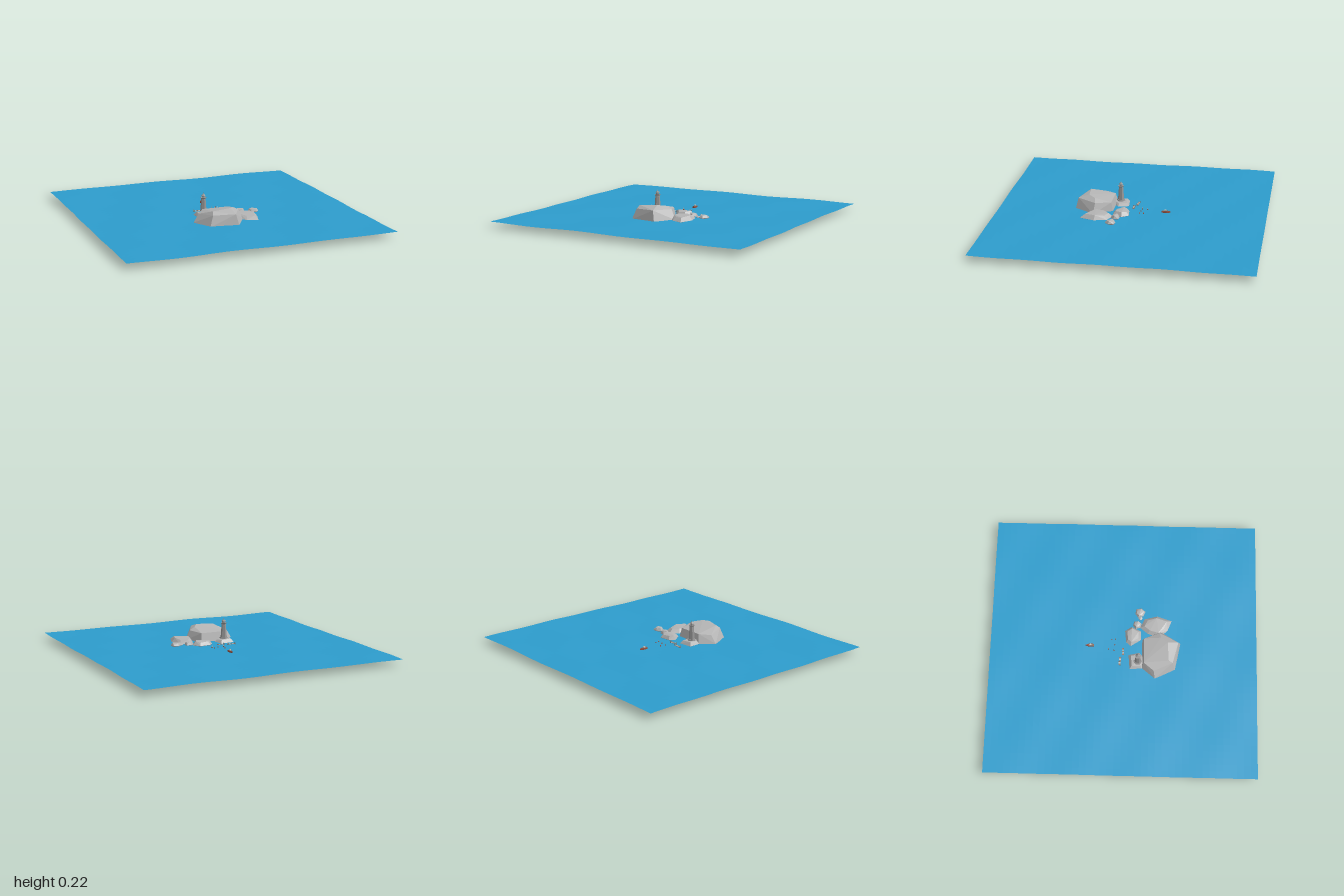
import * as THREE from 'three';
import { ConvexGeometry } from 'three/addons/geometries/ConvexGeometry.js';

const mat = (name, color, opts = {}) => {
  const m = new THREE.MeshStandardMaterial({ color, flatShading: true, ...opts });
  m.name = name;
  return m;
};

export function createModel() {
  const root = new THREE.Group();
  const sea = mat('sea blue', 0x2d9ccc, { side: THREE.DoubleSide });
  const stone = mat('rock grey', 0xb4b4b4);
  const tower = mat('tower grey', 0x969696);
  const wood = mat('weathered wood', 0x8a7a70);
  const pale = mat('pale paint', 0xc4bfba);
  const red = mat('dull red', 0x96503f);

  const add = (parent, name, geo, material, x = 0, y = 0, z = 0) => {
    const m = new THREE.Mesh(geo, material);
    m.name = name;
    m.position.set(x, y, z);
    parent.add(m);
    return m;
  };
  const group = (name, x, y, z) => {
    const g = new THREE.Group();
    g.name = name;
    g.position.set(x, y, z);
    root.add(g);
    return g;
  };

  // Gently rippled water sheet
  const water = new THREE.PlaneGeometry(2, 2, 40, 40).rotateX(-Math.PI / 2);
  const p = water.attributes.position;
  for (let i = 0; i < p.count; i++) {
    const x = p.getX(i), z = p.getZ(i);
    p.setY(i, 0.052 + 0.002 * Math.sin(x * 9 + z * 4) + 0.0015 * Math.sin(z * 13 - x * 6));
  }
  water.computeVertexNormals();
  add(root, 'sea', water, sea);

  // Faceted boulder: bottom, waist and crown rings taken from one plan outline
  const boulder = (name, outline, bottom, waist, crown, crownScale = 0.7) => {
    const n = outline.length;
    const cx = outline.reduce((s, q) => s + q[0], 0) / n;
    const cz = outline.reduce((s, q) => s + q[1], 0) / n;
    const pts = [];
    outline.forEach(([x, z], i) => {
      for (const [y, s] of [[bottom, 0.72], [waist, 1], [crown - (i % 3) * 0.004, crownScale]])
        pts.push(new THREE.Vector3(cx + (x - cx) * s, y, cz + (z - cz) * s));
    });
    return add(root, name, new ConvexGeometry(pts), stone);
  };

  // Main rock with a ridge sloping down to the back
  const mainPoints = [
    [-0.25, 0.05, 0.24], [-0.17, 0.05, 0.14], [0.05, 0.05, 0.14], [0.12, 0.05, 0.28], [0.03, 0.045, 0.43], [-0.18, 0.045, 0.39],
    [-0.21, 0.11, 0.23], [-0.15, 0.12, 0.155], [0.04, 0.12, 0.155], [0.085, 0.125, 0.27], [0.01, 0.13, 0.41], [-0.15, 0.125, 0.37],
    [-0.14, 0.148, 0.34], [0, 0.157, 0.33], [0.04, 0.148, 0.28],
    [-0.22, 0.014, 0.25], [-0.14, 0.015, 0.18], [0.03, 0.012, 0.18], [0.09, 0.012, 0.28], [0.03, 0.008, 0.435], [-0.17, 0.008, 0.4],
  ];
  add(root, 'mainRock', new ConvexGeometry(mainPoints.map((q) => new THREE.Vector3(...q))), stone);

  boulder('lighthouseRock', [[-0.18, 0.05], [-0.07, 0.04], [-0.05, 0.12], [-0.11, 0.18], [-0.175, 0.14]], 0.03, 0.052, 0.078, 0.72);
  boulder('backRock', [[0, 0.055], [0.03, 0.02], [0.12, 0.01], [0.155, 0.06], [0.12, 0.13], [0.05, 0.13]], 0.025, 0.056, 0.085);
  boulder('sideRock', [[0.1, 0.18], [0.15, 0.12], [0.22, 0.155], [0.245, 0.25], [0.21, 0.36], [0.13, 0.33], [0.075, 0.27]], 0.02, 0.053, 0.085);
  const pebble = (name, x, z, r, top) => boulder(name, Array.from({ length: 6 }, (_, i) => {
    const a = i * Math.PI / 3 + 0.3, k = i % 2 ? 1 : 0.88;
    return [x + Math.cos(a) * r * k, z + Math.sin(a) * r * k];
  }), 0.035, 0.057, top);
  pebble('smallRock', 0.172, 0.1, 0.036, 0.08);
  pebble('outerRock', 0.27, 0.12, 0.042, 0.077);
  pebble('tinyRock', 0.226, 0.124, 0.018, 0.064);

  // Six-sided lighthouse
  const light = group('lighthouse', -0.125, 0, 0.11);
  const drum = (name, r0, r1, y0, y1, m = tower) =>
    add(light, name, new THREE.CylinderGeometry(r1, r0, y1 - y0, 6), m, 0, (y0 + y1) / 2, 0);
  drum('foundation', 0.034, 0.03, 0.065, 0.085);
  drum('shaft', 0.024, 0.016, 0.083, 0.188);
  drum('gallery', 0.018, 0.023, 0.186, 0.195);
  drum('lantern', 0.012, 0.012, 0.195, 0.209);
  drum('roof', 0.017, 0.003, 0.209, 0.222);
  drum('finial', 0.003, 0.001, 0.222, 0.23);

  // Two floating jetties with planks and posts
  for (const [x, z, w, turn] of [[-0.122, -0.024, 0.066, -0.08], [-0.045, -0.002, 0.058, 0.05]]) {
    const jetty = group('jetty', x, 0.058, z);
    jetty.rotation.y = turn;
    for (let i = 0; i < 5; i++)
      add(jetty, 'plank', new THREE.BoxGeometry(w / 5 - 0.002, 0.004, 0.015), i % 2 ? pale : wood, (i - 2) * w / 5, 0, 0);
    for (const sx of [-1, 1]) for (const sz of [-1, 1])
      add(jetty, 'post', new THREE.CylinderGeometry(0.0015, 0.0015, 0.02, 5), wood, sx * w * 0.42, -0.001, sz * 0.007);
  }

  // Scattered marker buoys
  for (const [x, z] of [[-0.035, -0.07], [0.01, -0.065], [0.05, -0.09], [-0.025, -0.11], [0.055, -0.06]]) {
    const buoy = group('buoy', x, 0.054, z);
    add(buoy, 'float', new THREE.CylinderGeometry(0.003, 0.005, 0.007, 6), red);
    add(buoy, 'mast', new THREE.CylinderGeometry(0.001, 0.001, 0.014, 5), pale, 0, 0.007, 0);
  }

  // Small boat pointing away to the back
  const boat = group('boat', 0, 0.05, -0.25);
  const plan = new THREE.Shape();
  plan.moveTo(-0.009, -0.03);
  plan.lineTo(0.009, -0.03);
  plan.lineTo(0.011, 0.008);
  plan.lineTo(0, 0.035);
  plan.lineTo(-0.011, 0.008);
  const hull = new THREE.ExtrudeGeometry(plan, { depth: 0.012, bevelEnabled: false }).rotateX(-Math.PI / 2);
  add(boat, 'hull', hull, red);
  add(boat, 'deck', new THREE.BoxGeometry(0.014, 0.002, 0.034), wood, 0, 0.0125, 0.008);
  add(boat, 'cabin', new THREE.BoxGeometry(0.011, 0.01, 0.014), pale, 0, 0.017, 0.004);
  return root;
}
